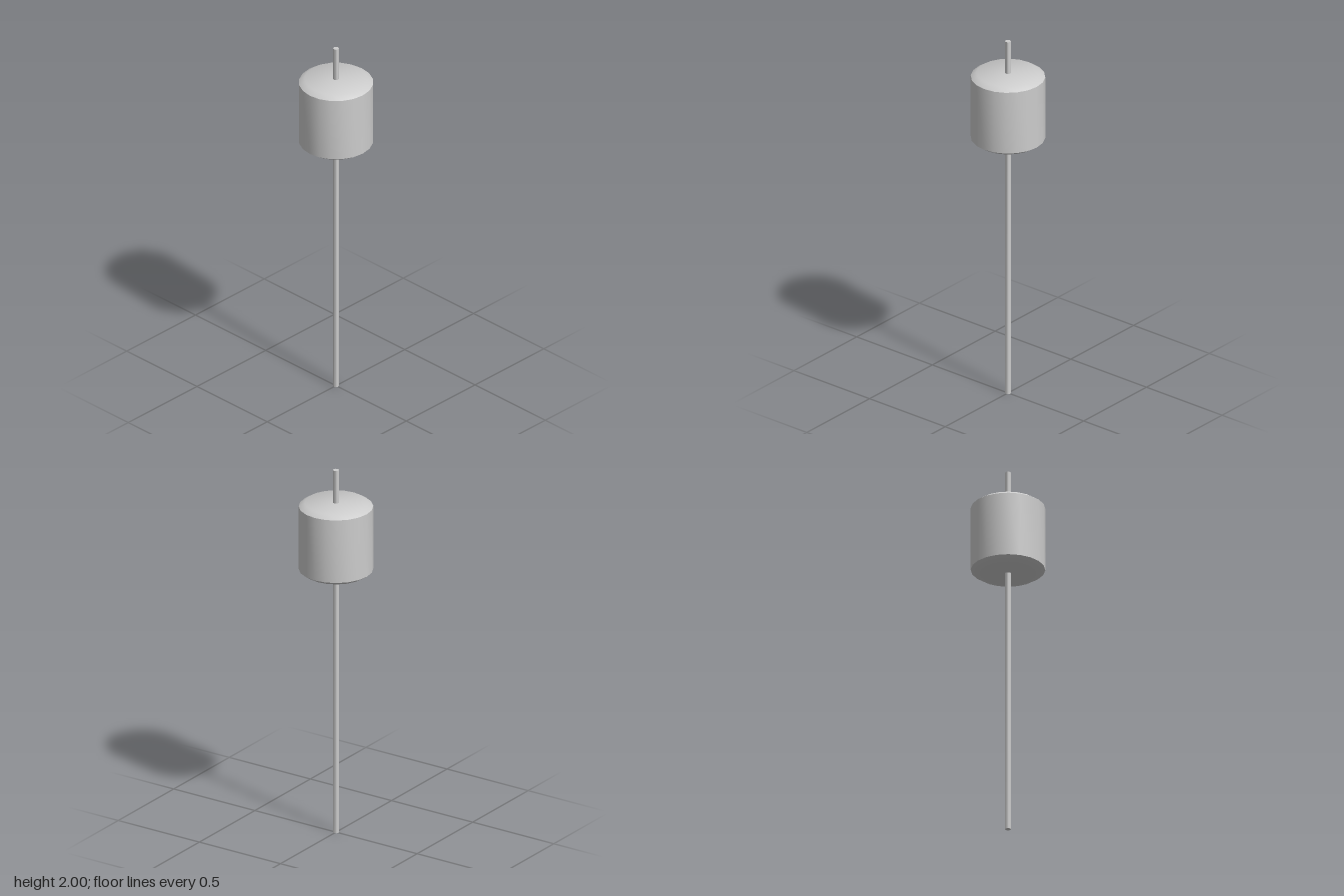
import * as THREE from 'three';
import { toCreasedNormals } from 'three/addons/utils/BufferGeometryUtils.js';

export function createModel() {
  const group = new THREE.Group();
  const steel = new THREE.MeshStandardMaterial({ color: 0xcccccc });
  steel.name = 'light grey';

  // Smooth around the sides, sharp at the rims
  const add = (name, geometry) => {
    const mesh = new THREE.Mesh(toCreasedNormals(geometry, 0.65), steel);
    mesh.name = name;
    group.add(mesh);
  };

  // Long thin rod through the whole height
  const rod = new THREE.CylinderGeometry(0.015, 0.015, 2, 10);
  rod.rotateY(Math.PI / 2);
  rod.translate(0, 1, 0);
  add('rod', rod);

  // Weight with chamfered rims near the top
  const profile = [[0, 1.435], [0.16, 1.435], [0.19, 1.455], [0.19, 1.8], [0.16, 1.82], [0, 1.82]]
    .map(([r, y]) => new THREE.Vector2(r, y));
  add('weight', new THREE.LatheGeometry(profile, 20));

  return group;
}
